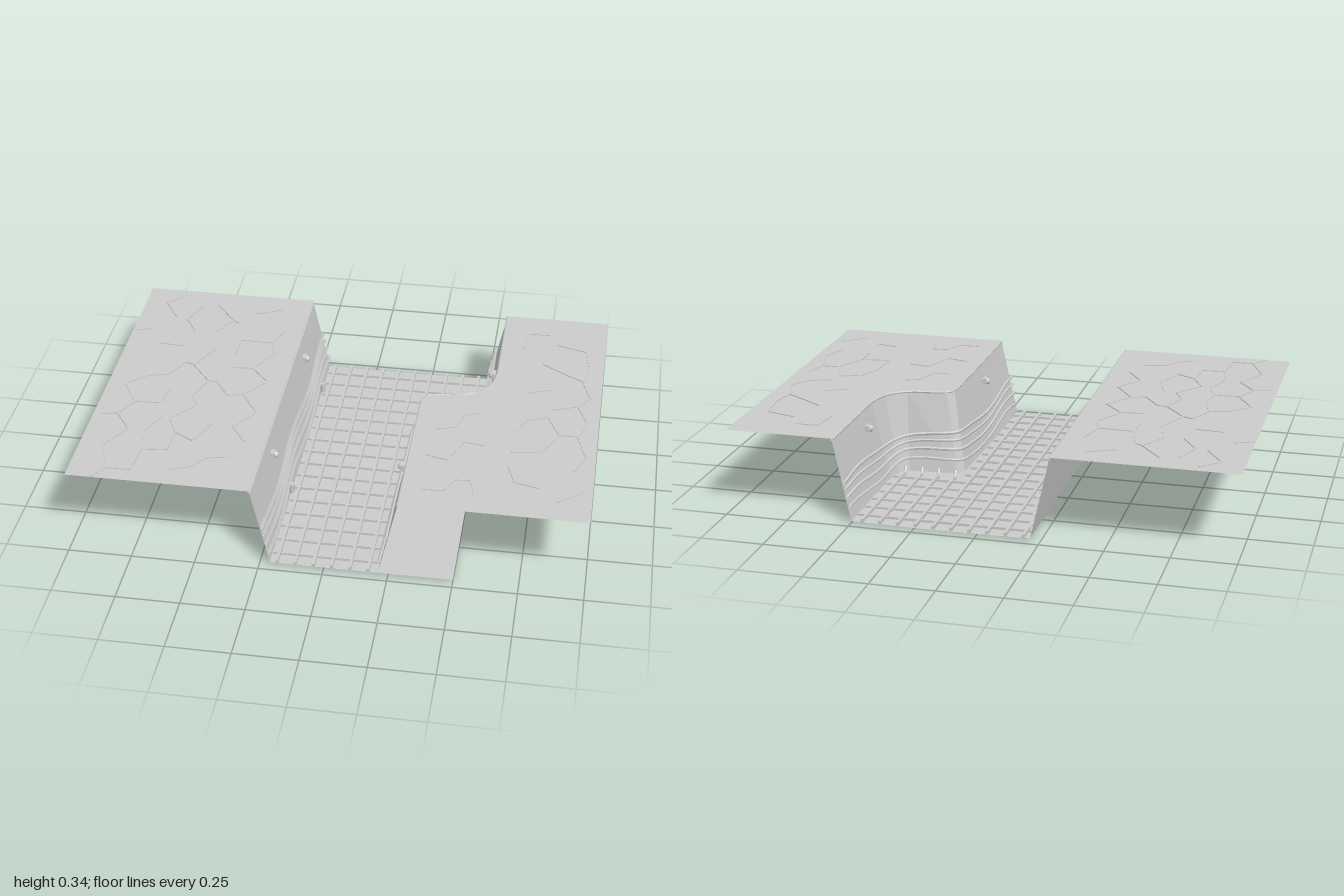
import * as THREE from 'three';

const GROUND = 0.343, FLOOR = 0.014, HALF = 0.714;
const mat = new THREE.MeshStandardMaterial({ color: 0xcccccc, flatShading: true, side: THREE.DoubleSide });

// Trench walls as matching top and bottom paths of [x, z]; the trench lies on the same side of both
const LEFT = {
  top: [[-0.283, -HALF], [-0.283, 0], [-0.283, HALF]],
  bottom: [[-0.21, -HALF], [-0.21, 0], [-0.21, HALF]],
};
const RIGHT = {
  top: [[0.283, HALF], [0.283, 0.35], [0.285, -0.02], [0.31, -0.052], [0.47, -0.075], [0.545, -0.14], [0.57, -0.24], [0.57, -HALF]],
  bottom: [[0.21, HALF], [0.215, 0.35], [0.228, -0.075], [0.25, -0.11], [0.45, -0.125], [0.485, -0.16], [0.5, -0.22], [0.5, -HALF]],
};

let seed = 7;
const rand = () => (seed = (seed * 16807) % 2147483647) / 2147483647;

function add(parent, name, geometry, x = 0, y = 0, z = 0) {
  const mesh = new THREE.Mesh(geometry, mat);
  mesh.name = name;
  mesh.position.set(x, y, z);
  parent.add(mesh);
  return mesh;
}

// Point on a wall: segment i, fraction f, height y, distance d into the trench
function onWall(wall, i, f, y, d) {
  const mix = (path, k) => path[i][k] + (path[i + 1][k] - path[i][k]) * f;
  const h = (y - FLOOR) / (GROUND - FLOOR);
  const x = mix(wall.bottom, 0) * (1 - h) + mix(wall.top, 0) * h;
  const z = mix(wall.bottom, 1) * (1 - h) + mix(wall.top, 1) * h;
  const dx = wall.top[i + 1][0] - wall.top[i][0], dz = wall.top[i + 1][1] - wall.top[i][1];
  const len = Math.hypot(dx, dz);
  return new THREE.Vector3(x + (dz / len) * d, y, z - (dx / len) * d);
}

function wallGeometry(wall) {
  const pos = [], n = wall.top.length;
  for (let i = 0; i < n - 1; i++) {
    const p = [onWall(wall, i, 0, FLOOR, 0), onWall(wall, i, 1, FLOOR, 0),
      onWall(wall, i, 1, GROUND, 0), onWall(wall, i, 0, GROUND, 0)];
    for (const k of [0, 1, 2, 0, 2, 3]) pos.push(...p[k].toArray());
  }
  const g = new THREE.BufferGeometry();
  g.setAttribute('position', new THREE.Float32BufferAttribute(pos, 3));
  g.computeVertexNormals();
  return g;
}

// Tube following a wall at height y, with a wave of the given size
function wallTube(wall, y, radius, wave, phase, offset) {
  const pts = [];
  let run = 0;
  for (let i = 0; i < wall.top.length - 1; i++) {
    const [a, b] = [wall.top[i], wall.top[i + 1]];
    const len = Math.hypot(b[0] - a[0], b[1] - a[1]);
    const steps = Math.max(1, Math.round(len / 0.06));
    for (let s = 0; s < steps; s++) {
      const f = (s + 0.5) / steps;
      pts.push(onWall(wall, i, f, y + wave * Math.sin((run + f * len) * 9 + phase), offset));
    }
    run += len;
  }
  const last = wall.top.length - 2;
  pts.unshift(onWall(wall, 0, 0, pts[0].y, offset));
  pts.push(onWall(wall, last, 1, pts[pts.length - 1].y, offset));
  return new THREE.TubeGeometry(new THREE.CatmullRomCurve3(pts), 90, radius, 5);
}

function groundGeometry(edge, outerX) {
  const pts = [...edge, [outerX, edge[edge.length - 1][1]], [outerX, edge[0][1]]];
  const shape = new THREE.Shape(pts.map(([x, z]) => new THREE.Vector2(x, -z)));
  return new THREE.ShapeGeometry(shape).rotateX(-Math.PI / 2);
}

// Thin raised ridge between two ground points
function ridge(parent, a, b) {
  const len = Math.hypot(b[0] - a[0], b[1] - a[1]);
  const m = add(parent, 'crackRidge', new THREE.BoxGeometry(len, 0.005, 0.007),
    (a[0] + b[0]) / 2, GROUND + 0.001, (a[1] + b[1]) / 2);
  m.rotation.y = -Math.atan2(b[1] - a[1], b[0] - a[0]);
}

// Broken outlines of irregular six-sided slabs
function cracks(parent, inside) {
  const nodes = [];
  for (let i = 0; i < 18; i++) {
    nodes.push([]);
    for (let j = 0; j < 14; j++) {
      const zig = (i + j) % 2 ? 0.02 : -0.02;
      nodes[i].push([-1 + i * 0.12 + zig + (rand() - 0.5) * 0.06, -0.7 + j * 0.11 + (rand() - 0.5) * 0.06]);
    }
  }
  const join = (a, b) => {
    if (rand() > 0.42 && inside(a) && inside(b)) ridge(parent, a, b);
  };
  for (let i = 0; i < 17; i++) for (let j = 0; j < 13; j++) {
    join(nodes[i][j], nodes[i][j + 1]);
    if ((i + j) % 2) join(nodes[i][j], nodes[i + 1][j]);
  }
}

export function createModel() {
  const model = new THREE.Group();
  model.name = 'trench';

  // Ground on both sides
  add(model, 'leftGround', groundGeometry(LEFT.top, -1), 0, GROUND);
  add(model, 'rightGround', groundGeometry(RIGHT.top, 1), 0, GROUND);
  const crackGroup = new THREE.Group();
  crackGroup.name = 'groundCracks';
  model.add(crackGroup);
  cracks(crackGroup, ([x, z]) => Math.abs(z) < 0.71 && Math.abs(x) < 0.995 &&
    (x < -0.31 || x > 0.61 || (x > 0.32 && z > -0.02)));

  // Gently uneven floor running under the right ground
  const floor = new THREE.PlaneGeometry(0.71, HALF * 2, 6, 14).rotateX(-Math.PI / 2);
  const p = floor.attributes.position;
  for (let i = 0; i < p.count; i++) {
    p.setY(i, -0.004 * (1 + Math.sin(p.getZ(i) * 5 + 0.4)) * Math.cos(p.getX(i) * 4));
  }
  add(model, 'floor', floor, 0.145, FLOOR);

  // Walls, rims and cables
  for (const [side, wall] of [['left', LEFT], ['right', RIGHT]]) {
    add(model, side + 'Wall', wallGeometry(wall));
    add(model, side + 'Rim', wallTube(wall, GROUND - 0.004, 0.005, 0, 0, 0));
    [0.06, 0.1, 0.135, 0.165].forEach((y, i) =>
      add(model, side + 'Cable', wallTube(wall, y, 0.006 + 0.001 * (i % 2), 0.013, i * 0.35, 0.008)));
  }

  // Wall lamps: a bracket with a rounded cap
  for (const [wall, i, f] of [[LEFT, 0, 0.496], [LEFT, 1, 0.496], [RIGHT, 0, 0.98], [RIGHT, 6, 0.25]]) {
    const lamp = new THREE.Group();
    lamp.name = 'wallLamp';
    lamp.position.copy(onWall(wall, i, f, 0.268, 0.008));
    add(lamp, 'lampBracket', new THREE.BoxGeometry(0.018, 0.026, 0.034));
    add(lamp, 'lampCap', new THREE.SphereGeometry(0.014, 8, 6), wall === LEFT ? 0.009 : -0.009);
    model.add(lamp);
  }

  // Cable plugs near the floor
  for (const z of [-0.48, 0.27]) {
    add(model, 'cablePlug', new THREE.CylinderGeometry(0.012, 0.012, 0.04, 6), -0.203, 0.05, z);
  }

  // Floor grating: long rails and cross bars, widening into the recess
  for (let i = 0; i < 10; i++) {
    const x = -0.182 + i * 0.071;
    const front = i < 6 ? HALF : -0.17;
    add(model, 'floorRail', new THREE.BoxGeometry(0.011, 0.014, front + HALF), x, 0.019, (front - HALF) / 2);
    if (i > 5) {
      const stub = add(model, 'railStub', new THREE.CylinderGeometry(0.007, 0.007, 0.04, 6), x, 0.028, -0.165);
      stub.rotation.x = 0.6;
    }
  }
  for (let z = -0.65; z < 0.7; z += 0.087) {
    const right = z < -0.19 ? 0.497 : 0.212;
    add(model, 'crossBar', new THREE.BoxGeometry(right + 0.207, 0.01, 0.009), (right - 0.207) / 2, 0.017, z);
  }
  return model;
}
